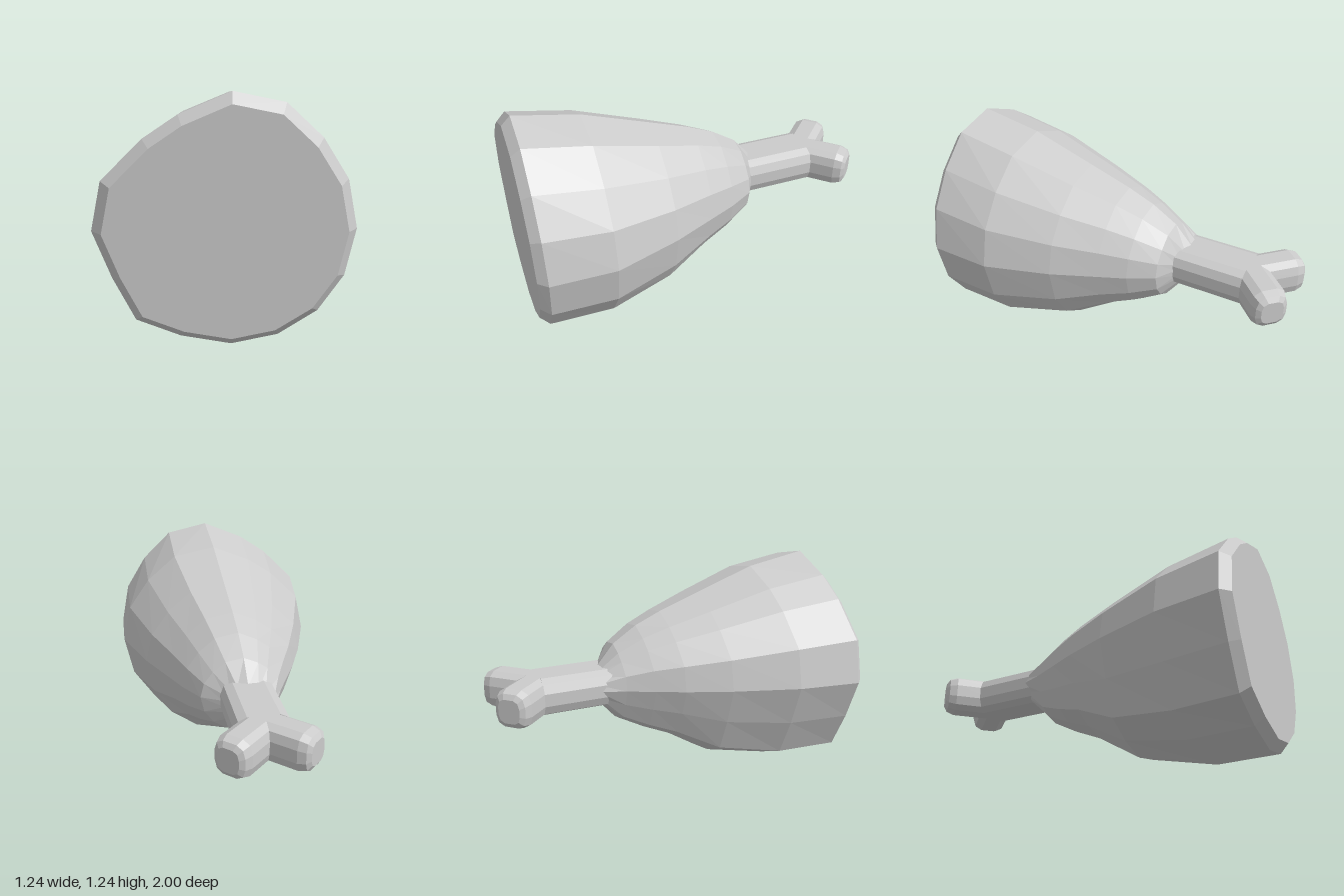
import * as THREE from 'three';

const material = new THREE.MeshStandardMaterial({ color: 0xcccccc, flatShading: true });
const AXIS_Y = 0.595;

// Closed skin over rings that run along +z, each counter-clockwise seen from +z
function loft(name, rings) {
  const pos = [];
  const tri = (...pts) => pts.forEach((p) => pos.push(p.x, p.y, p.z));
  const n = rings[0].length;
  for (let i = 0; i < rings.length - 1; i++) {
    for (let j = 0; j < n; j++) {
      const k = (j + 1) % n;
      const a = rings[i][j], b = rings[i][k], c = rings[i + 1][k], d = rings[i + 1][j];
      tri(a, b, c);
      tri(a, c, d);
    }
  }
  // flat end caps
  const middle = (ring) => ring.reduce((s, p) => s.add(p), new THREE.Vector3()).divideScalar(n);
  const first = rings[0], last = rings[rings.length - 1];
  const m0 = middle(first), m1 = middle(last);
  for (let j = 0; j < n; j++) {
    const k = (j + 1) % n;
    tri(m0, first[k], first[j]);
    tri(m1, last[j], last[k]);
  }
  const geometry = new THREE.BufferGeometry();
  geometry.setAttribute('position', new THREE.Float32BufferAttribute(pos, 3));
  geometry.computeVertexNormals();
  const mesh = new THREE.Mesh(geometry, material);
  mesh.name = name;
  return mesh;
}

// Lumpy outline of the meat, from -1 to 1 around the bone axis
const outline = [
  [0.04, 1], [0.44, 0.92], [0.72, 0.67], [0.92, 0.37], [1, 0], [0.92, -0.4], [0.72, -0.71], [0.41, -0.92],
  [0.04, -1], [-0.35, -0.92], [-0.69, -0.77], [-0.86, -0.4], [-1, 0], [-0.92, 0.37], [-0.61, 0.67], [-0.35, 0.84],
].reverse();

function createMeat() {
  // z, left and right reach, bottom and top height, slant of z along x
  const sections = [
    [-0.395, 0.14, 0.14, 0.5, 0.69, 0.3],
    [-0.29, 0.2, 0.25, 0.37, 0.81, 0],
    [-0.15, 0.27, 0.33, 0.295, 0.9, 0],
    [0, 0.345, 0.395, 0.23, 0.965, 0],
    [0.24, 0.445, 0.5, 0.08, 1.05, 0],
    [0.6, 0.565, 0.615, 0.005, 1.175, 0],
    [0.95, 0.62, 0.605, 0.01, 1.24, 0],
    [1, 0.57, 0.56, 0.06, 1.19, 0],
  ];
  return loft('meat', sections.map(([z, left, right, bottom, top, slant]) =>
    outline.map(([u, v]) => {
      const x = u * (u > 0 ? right : left);
      const y = AXIS_Y + v * (v > 0 ? top - AXIS_Y : AXIS_Y - bottom);
      return new THREE.Vector3(x, y, z + slant * x);
    })));
}

// Mirrors a quarter section into a full counter-clockwise one
function fullSection(quarter) {
  const half = [...quarter, ...quarter.map(([x, y]) => [-x, y]).reverse()];
  return [...half, ...half.map(([x, y]) => [-x, -y])];
}

function createBone() {
  const bone = new THREE.Group();
  bone.name = 'bone';
  bone.position.y = AXIS_Y;

  // shaft with chamfered edges
  const shaft = fullSection([[0.15, 0.035], [0.13, 0.083], [0.085, 0.105]]);
  bone.add(loft('boneShaft', [-0.74, -0.2].map((z) =>
    shaft.map(([x, y]) => new THREE.Vector3(x, y, z)))));

  // two knobs forking at 45 degrees, with rounded tips
  const knob = fullSection([[0.1, 0.035], [0.085, 0.083], [0.045, 0.105]]);
  const steps = [[-0.31, 0.62], [-0.293, 0.87], [-0.25, 1], [0, 1]];
  for (const side of [-1, 1]) {
    const mesh = loft(side < 0 ? 'rightKnob' : 'leftKnob', steps.map(([z, s]) =>
      knob.map(([x, y]) => new THREE.Vector3(x * s, y * s, z))));
    mesh.position.z = -0.73;
    mesh.rotation.y = -side * Math.PI / 4;
    bone.add(mesh);
  }
  return bone;
}

export function createModel() {
  const model = new THREE.Group();
  model.name = 'meatOnBone';
  model.add(createMeat(), createBone());
  return model;
}
